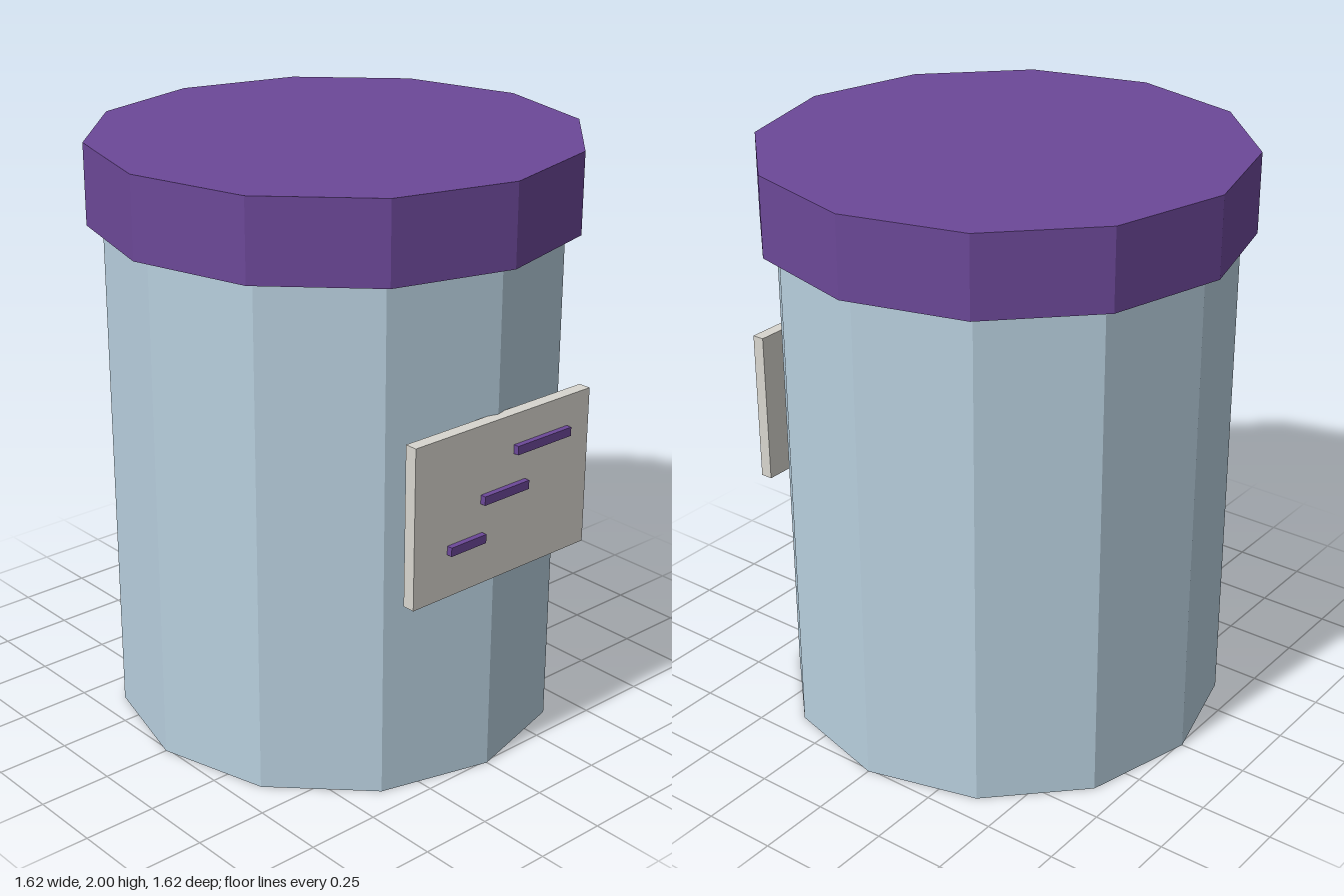
import * as THREE from 'three';

export function createModel() {
  const group = new THREE.Group();
  const material = (color) => new THREE.MeshStandardMaterial({ color, flatShading: true });
  const glass = material(0xb8cfde);
  const purple = material(0x6c4898);
  const paper = material(0xd8d6cf);

  const add = (name, geometry, mat, x, y, z) => {
    const mesh = new THREE.Mesh(geometry, mat);
    mesh.name = name;
    mesh.position.set(x, y, z);
    group.add(mesh);
  };

  // Twelve-sided jar body and its wider lid, each with a corner facing front
  const prism = (radius, height) => new THREE.CylinderGeometry(radius, radius, height, 12);
  add('body', prism(0.76, 1.73), glass, 0, 0.865, 0);
  add('lid', prism(0.812, 0.27), purple, 0, 1.865, 0);

  // Flat label plate on the front
  add('label', new THREE.BoxGeometry(0.76, 0.54, 0.043), paper, 0, 0.98, 0.771);

  // Raised bars stepping up across the label: [x from, x to, y]
  const bars = [[-0.24, -0.09, 0.872], [-0.1, 0.095, 1.002], [0.04, 0.28, 1.132]];
  bars.forEach(([x0, x1, y], i) => {
    add(`labelBar${i + 1}`, new THREE.BoxGeometry(x1 - x0, 0.03, 0.024), purple, (x0 + x1) / 2, y, 0.8);
  });

  return group;
}
